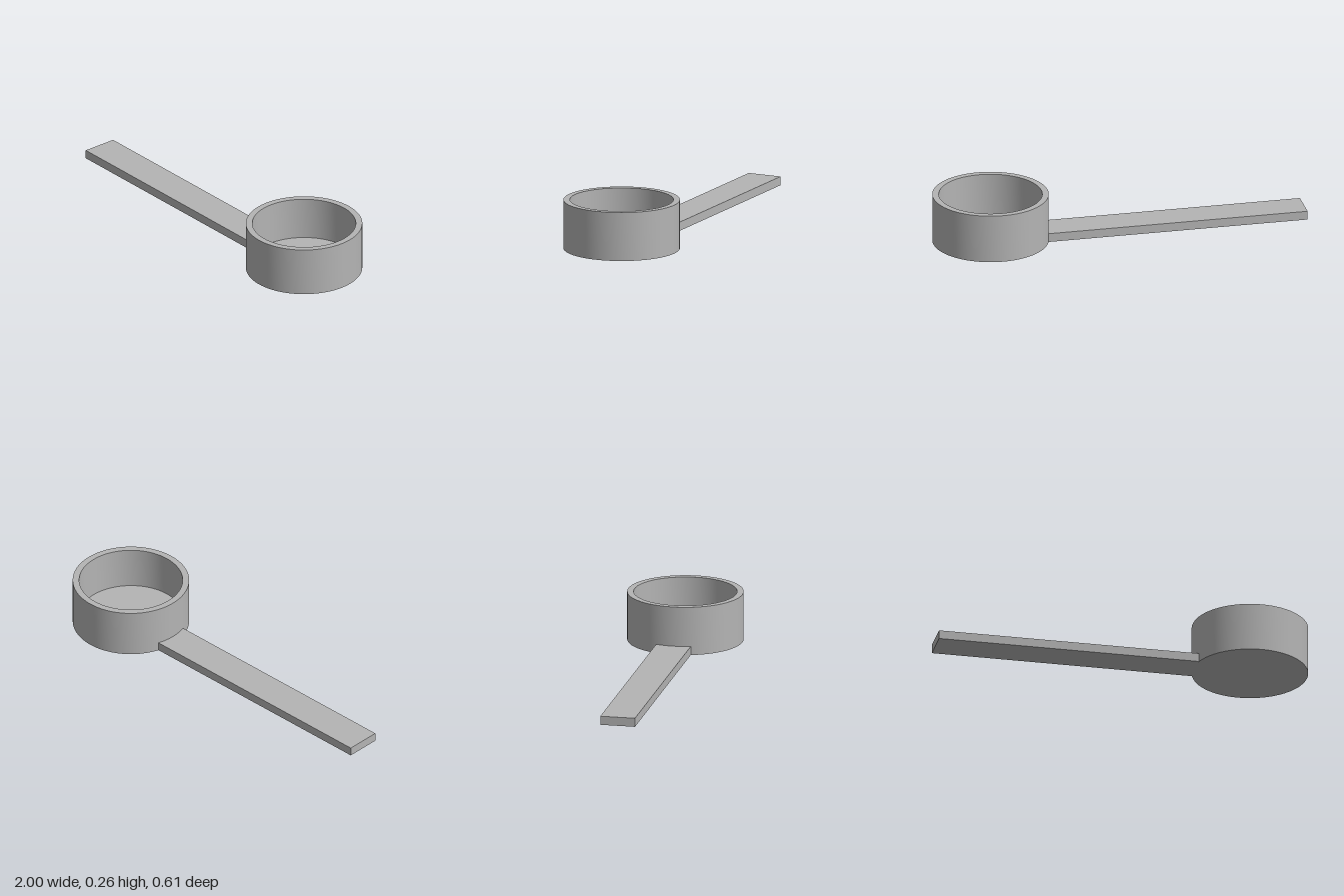
import * as THREE from 'three';
import { toCreasedNormals } from 'three/addons/utils/BufferGeometryUtils.js';

export function createModel() {
  const group = new THREE.Group();
  group.name = 'measuringScoop';
  const grey = new THREE.MeshStandardMaterial({ color: 0xb4b4b4 });
  grey.name = 'grey';

  const cupRadius = 0.307, innerRadius = 0.273;
  const cupHeight = 0.262, floorHeight = 0.035;
  const cupX = 1 - cupRadius;

  // Cup: closed profile from the underside, over the rim, to the inner floor
  const profile = [
    [0, 0], [cupRadius, 0], [cupRadius, cupHeight],
    [innerRadius, cupHeight], [innerRadius, floorHeight], [0, floorHeight],
  ].map(([r, y]) => new THREE.Vector2(r, y));
  const cup = new THREE.Mesh(toCreasedNormals(new THREE.LatheGeometry(profile, 96), 0.6), grey);
  cup.name = 'cup';
  cup.position.x = cupX;
  group.add(cup);

  // Handle: flat bar whose end is buried in the cup wall
  const handleEnd = 0.405, handleHeight = 0.047, handleWidth = 0.187;
  const length = handleEnd + 1;
  const handle = new THREE.Mesh(new THREE.BoxGeometry(length, handleHeight, handleWidth), grey);
  handle.name = 'handle';
  // lifted a hair so its underside does not fight with the cup's
  handle.position.set(-1 + length / 2, handleHeight / 2 + 0.0003, -0.002);
  group.add(handle);

  return group;
}
